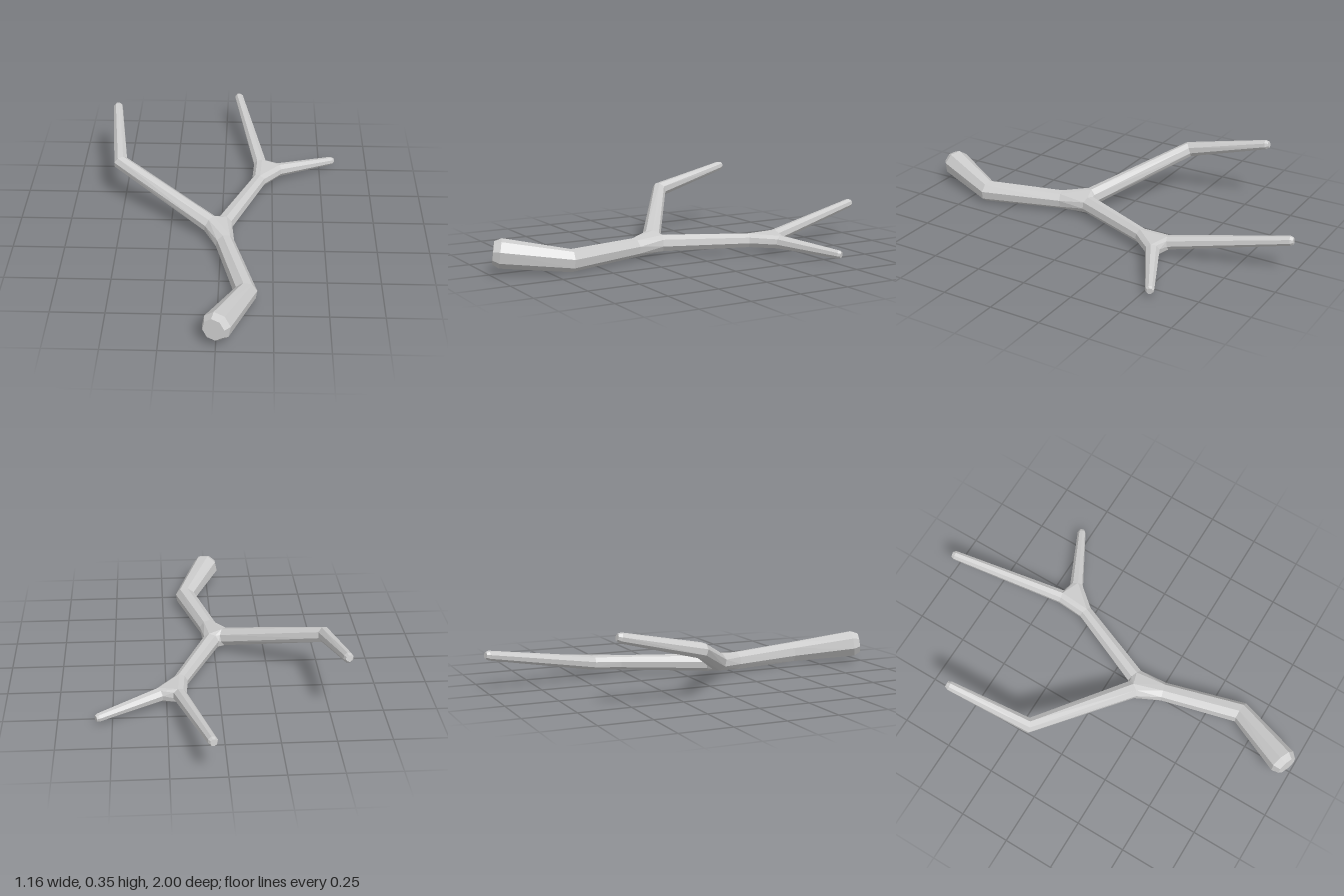
import * as THREE from 'three';
import { ConvexGeometry } from 'three/addons/geometries/ConvexGeometry.js';

const SIDES = 8;
const UP = new THREE.Vector3(0, 1, 0);
const material = new THREE.MeshStandardMaterial({ color: 0xcccccc, flatShading: true, side: THREE.DoubleSide });

// One ring of points per station [x, y, z, radius], set across the path direction
function makeRings(stations) {
  const centres = stations.map(([x, y, z]) => new THREE.Vector3(x, y, z));
  return stations.map((s, k) => {
    const t = new THREE.Vector3();
    if (k > 0) t.add(centres[k].clone().sub(centres[k - 1]).normalize());
    if (k < centres.length - 1) t.add(centres[k + 1].clone().sub(centres[k]).normalize());
    t.normalize();
    const u = UP.clone().cross(t).normalize();
    const v = t.clone().cross(u);
    return Array.from({ length: SIDES }, (_, i) => {
      const a = ((i + 0.3) / SIDES) * Math.PI * 2;
      return centres[k].clone()
        .addScaledVector(u, Math.cos(a) * s[3])
        .addScaledVector(v, Math.sin(a) * s[3]);
    });
  });
}

// Skin the rings, optionally closing the last one with a flat face
function skin(name, rings, capped) {
  const pts = [];
  for (let k = 0; k < rings.length - 1; k++) {
    for (let i = 0; i < SIDES; i++) {
      const j = (i + 1) % SIDES;
      const [a, b, c, d] = [rings[k][i], rings[k][j], rings[k + 1][j], rings[k + 1][i]];
      pts.push(a, b, c, a, c, d);
    }
  }
  if (capped) {
    const end = rings[rings.length - 1];
    for (let i = 1; i < SIDES - 1; i++) pts.push(end[0], end[i], end[i + 1]);
  }
  const geometry = new THREE.BufferGeometry().setFromPoints(pts);
  geometry.computeVertexNormals();
  const mesh = new THREE.Mesh(geometry, material);
  mesh.name = name;
  return mesh;
}

// Faceted web joining the three rings that meet at a fork
function fork(name, ...rings) {
  const mesh = new THREE.Mesh(new ConvexGeometry(rings.flat()), material);
  mesh.name = name;
  return mesh;
}

export function createModel() {
  const group = new THREE.Group();
  group.name = 'branch';

  // Thick end, with a bevelled cut face
  const trunk = makeRings([
    [0.022, 0.057, 0.27, 0.046],
    [0.126, 0.055, 0.65, 0.053],
    [0.003, 0.098, 0.945, 0.069],
    [-0.009, 0.102, 0.975, 0.052],
  ]);
  // Middle stretch between the forks
  const middle = makeRings([
    [0.016, 0.063, 0.11, 0.043],
    [0.18, 0.065, -0.28, 0.036],
  ]);
  // Long side branch with an elbow
  const side = makeRings([
    [-0.055, 0.077, 0.135, 0.045],
    [-0.511, 0.233, -0.168, 0.038],
    [-0.56, 0.327, -0.572, 0.024],
    [-0.561, 0.331, -0.588, 0.016],
  ]);
  // Two end twigs
  const longTwig = makeRings([
    [0.188, 0.073, -0.43, 0.034],
    [0.067, 0.174, -0.983, 0.023],
    [0.064, 0.176, -0.997, 0.016],
  ]);
  const shortTwig = makeRings([
    [0.282, 0.062, -0.397, 0.034],
    [0.563, 0.035, -0.541, 0.021],
    [0.574, 0.034, -0.547, 0.015],
  ]);

  group.add(
    skin('trunk', trunk, true),
    skin('middleStem', middle, false),
    skin('sideBranch', side, true),
    skin('longTwig', longTwig, true),
    skin('shortTwig', shortTwig, true),
    fork('lowerFork', trunk[0], middle[0], side[0]),
    fork('upperFork', middle[1], longTwig[0], shortTwig[0]),
  );
  return group;
}
